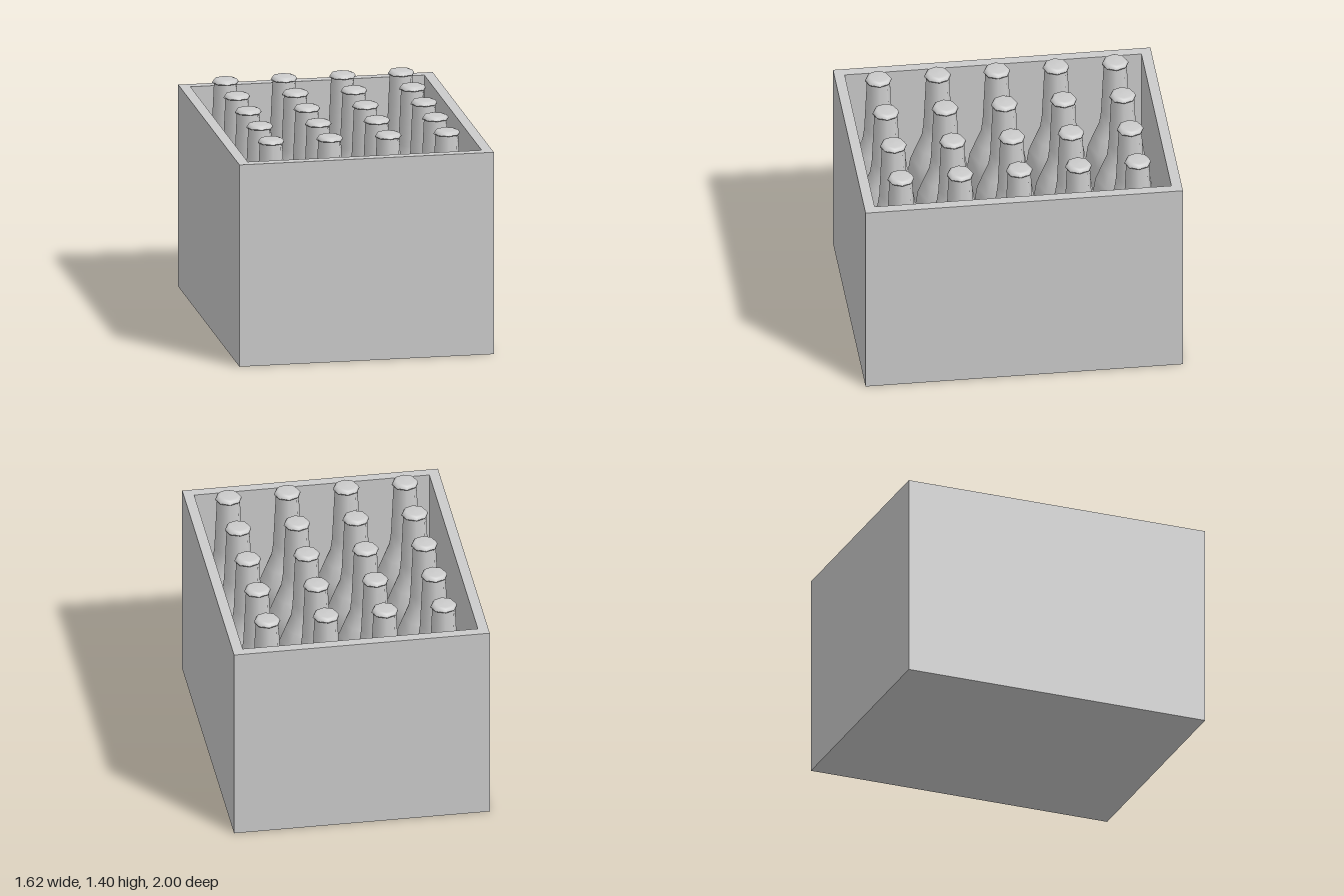
import * as THREE from 'three';

const W = 1.62, D = 2, H = 1.305, WALL = 0.065, PITCH = 0.373;
const material = new THREE.MeshStandardMaterial({ color: 0xcccccc });

function rect(Type, w, d) {
  const s = new Type();
  s.moveTo(-w / 2, -d / 2).lineTo(w / 2, -d / 2).lineTo(w / 2, d / 2).lineTo(-w / 2, d / 2).closePath();
  return s;
}

// eight-sided turned shape from [radius, height] pairs, bottom to top
function turned(points) {
  return new THREE.LatheGeometry(points.map(([r, y]) => new THREE.Vector2(r, y)), 8);
}

function part(name, geometry) {
  const mesh = new THREE.Mesh(geometry, material);
  mesh.name = name;
  return mesh;
}

export function createModel() {
  const model = new THREE.Group();
  model.name = 'bottleCrate';

  // open crate: wall frame and floor
  const frame = rect(THREE.Shape, W, D);
  frame.holes.push(rect(THREE.Path, W - 2 * WALL, D - 2 * WALL));
  const wallGeometry = new THREE.ExtrudeGeometry(frame, { depth: H, bevelEnabled: false });
  wallGeometry.rotateX(-Math.PI / 2);
  model.add(part('crateWalls', wallGeometry));
  const floor = part('crateFloor', new THREE.BoxGeometry(W - 2 * WALL, WALL, D - 2 * WALL));
  floor.position.y = WALL / 2;
  model.add(floor);

  // bottle: straight body, sloping shoulder, tapered neck
  const glass = turned([
    [0, WALL], [0.17, WALL], [0.186, WALL + 0.02], [0.186, 0.68], [0.172, 0.77],
    [0.135, 0.86], [0.1, 0.94], [0.089, 1.02], [0.075, 1.32], [0.072, 1.385],
  ]);
  // flared cap with a slightly domed top
  const cap = turned([[0.07, 1.373], [0.084, 1.373], [0.083, 1.38], [0.073, 1.395], [0.055, 1.4], [0, 1.402]]);

  // four by five rows of bottles
  for (let i = 0; i < 4; i++) {
    for (let j = 0; j < 5; j++) {
      const bottle = new THREE.Group();
      bottle.name = 'bottle';
      bottle.add(part('bottleGlass', glass), part('bottleCap', cap));
      bottle.position.set((i - 1.5) * PITCH, 0, (j - 2) * PITCH);
      model.add(bottle);
    }
  }
  return model;
}
